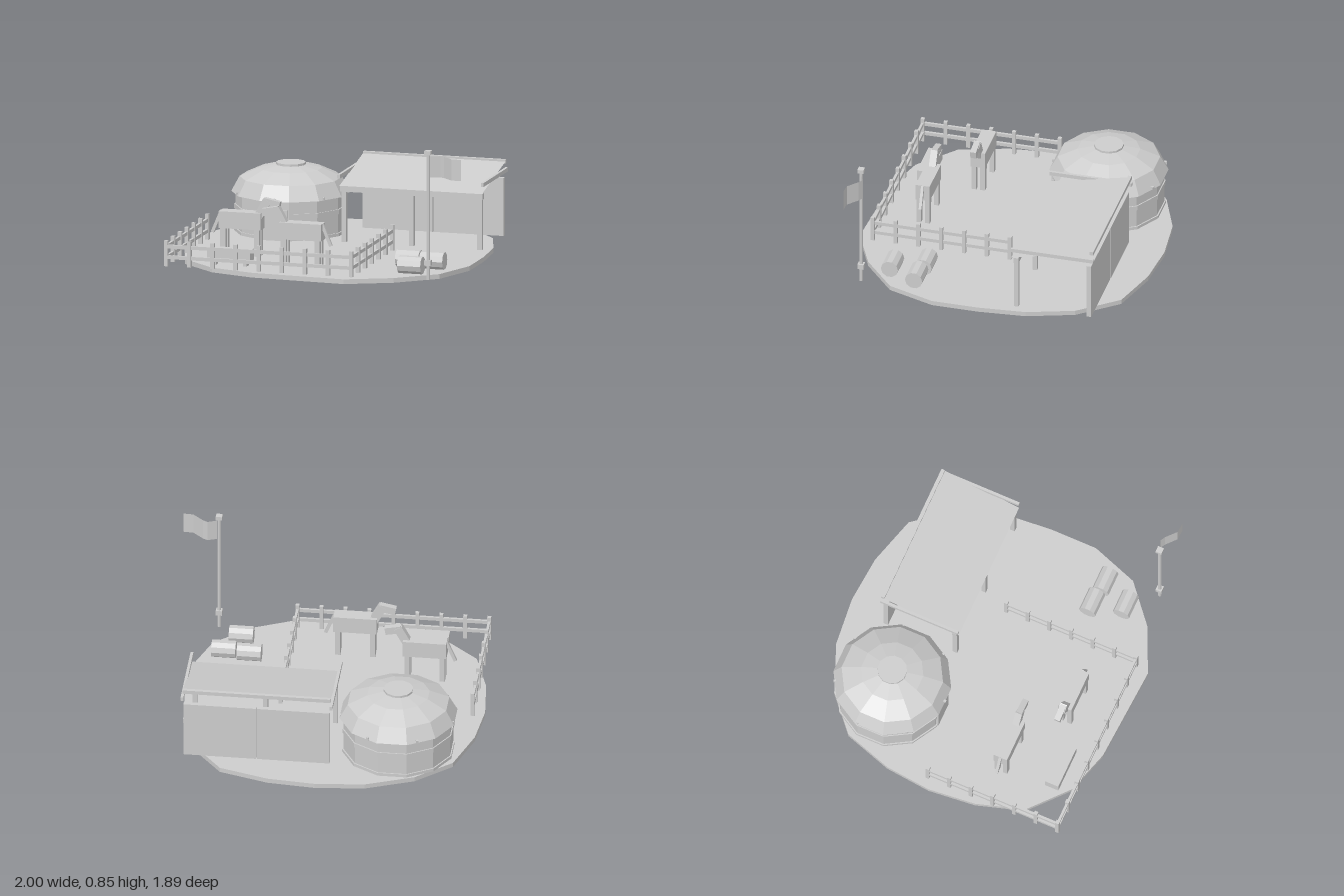
import * as THREE from 'three';

export function createModel() {
  const root = new THREE.Group();
  root.name = 'nomadCamp';
  const grey = new THREE.MeshStandardMaterial({ color: 0xcccccc, flatShading: true, side: THREE.DoubleSide });
  grey.name = 'light grey';

  const group = (name, parent = root) => {
    const g = new THREE.Group();
    g.name = name;
    parent.add(g);
    return g;
  };
  const add = (name, geo, parent = root, x = 0, y = 0, z = 0) => {
    const m = new THREE.Mesh(geo, grey);
    m.name = name;
    m.position.set(x, y, z);
    parent.add(m);
    return m;
  };
  // Box given by its minimum and maximum corners
  const box = (name, parent, x0, x1, y0, y1, z0, z1) =>
    add(name, new THREE.BoxGeometry(x1 - x0, y1 - y0, z1 - z0), parent, (x0 + x1) / 2, (y0 + y1) / 2, (z0 + z1) / 2);

  // Ground slab with an irregular rounded outline (x, z)
  const outline = [
    [-0.04, -0.95], [0.26, -0.925], [0.57, -0.835], [0.77, -0.59], [0.865, -0.295], [0.89, 0], [0.89, 0.305],
    [0.785, 0.605], [0.545, 0.81], [0.26, 0.94], [-0.35, 0.905], [-0.635, 0.82], [-0.875, 0.61],
    [-0.97, 0.305], [-1, 0], [-0.97, -0.295], [-0.87, -0.605], [-0.65, -0.8], [-0.35, -0.92],
  ];
  const slab = new THREE.ExtrudeGeometry(
    new THREE.Shape(outline.map(([x, z]) => new THREE.Vector2(x, -z))), { depth: 0.03, bevelEnabled: false });
  slab.rotateX(-Math.PI / 2);
  add('ground', slab);

  // Round tent: twelve flat sides, radii given to the middle of a side
  const tent = group('tent');
  tent.position.set(-0.51, 0, -0.465);
  const ring = (name, pts) => add(name, new THREE.LatheGeometry(
    pts.map(([r, y]) => new THREE.Vector2(r / Math.cos(Math.PI / 12), y)), 12, Math.PI / 12), tent);
  ring('tentWall', [[0.335, 0.03], [0.335, 0.3]]);
  ring('tentRoof', [[0.33, 0.28], [0.36, 0.28], [0.31, 0.375], [0.19, 0.432], [0.08, 0.455]]);
  ring('crown', [[0.09, 0.448], [0.09, 0.467], [0, 0.467]]);
  ring('baseBand', [[0.335, 0.03], [0.343, 0.03], [0.343, 0.05], [0.335, 0.05]]);
  ring('ropeBand', [[0.335, 0.17], [0.342, 0.17], [0.342, 0.2], [0.335, 0.2]]);
  box('door', tent, -0.08, 0.08, 0.03, 0.225, 0.32, 0.35);
  for (let i = 0; i < 7; i++) {
    const a = (i / 7) * Math.PI * 2;
    const peg = add('ropePeg', new THREE.BoxGeometry(0.015, 0.02, 0.025), tent,
      0.355 * Math.sin(a), 0.288, 0.355 * Math.cos(a));
    peg.rotation.y = a;
  }

  // Open shed with a single sloping roof sheet
  const shed = group('shed');
  for (const x of [-0.085, 0.355, 0.8]) box('shedPost', shed, x - 0.015, x + 0.015, 0.03, 0.37, -0.235, -0.205);
  box('frontBeam', shed, -0.11, 0.82, 0.35, 0.388, -0.235, -0.205);
  box('backWallLeft', shed, 0.358, 0.815, 0.03, 0.4, -0.705, -0.675);
  box('backWallRight', shed, -0.105, 0.352, 0.03, 0.4, -0.705, -0.675);
  box('ridgeBeam', shed, -0.11, 0.82, 0.488, 0.512, -0.72, -0.697);
  for (const x of [-0.115, 0.822]) box('sideBeam', shed, x - 0.009, x + 0.009, 0.435, 0.46, -0.72, -0.19);
  const rise = 0.115, run = 0.53;
  const sheet = add('shedRoof', new THREE.PlaneGeometry(0.93, Math.hypot(rise, run)), shed, 0.355, 0.447, -0.455);
  sheet.rotation.x = -Math.PI / 2 + Math.atan2(rise, run);

  // Three-sided fence
  const fence = group('fence');
  const L = -0.925, R = 0.282, F = 0.85, B = -0.037;
  const post = (x, z) => box('fencePost', fence, x - 0.012, x + 0.012, 0.03, 0.193, z - 0.012, z + 0.012);
  for (let i = 0; i <= 8; i++) post(L + ((R - L) * i) / 8, F);
  for (const x of [L, R]) for (let i = 0; i < 6; i++) post(x, B + ((F - B) * i) / 6);
  for (const y of [0.087, 0.155]) {
    box('frontRail', fence, L, R, y - 0.011, y + 0.011, F - 0.008, F + 0.008);
    for (const x of [L, R]) box('sideRail', fence, x - 0.008, x + 0.008, y - 0.011, y + 0.011, B, F);
  }

  // Horses, built facing +x
  const horse = (x, z, turn) => {
    const h = group('horse');
    h.position.set(x, 0, z);
    h.rotation.y = turn;
    box('body', h, -0.137, 0.137, 0.2, 0.307, -0.046, 0.046);
    for (const lx of [-0.11, 0.11]) for (const lz of [-0.028, 0.028])
      box('leg', h, lx - 0.017, lx + 0.017, 0.03, 0.21, lz - 0.015, lz + 0.015);
    add('neck', new THREE.BoxGeometry(0.055, 0.14, 0.044), h, 0.137, 0.325, 0).rotation.z = -0.5;
    add('head', new THREE.BoxGeometry(0.105, 0.048, 0.038), h, 0.2, 0.368, 0).rotation.z = -0.2;
    add('tail', new THREE.BoxGeometry(0.02, 0.15, 0.018), h, -0.16, 0.235, 0).rotation.z = -0.4;
  };
  horse(-0.58, 0.365, 0);
  horse(-0.115, 0.598, Math.PI);

  // Feeding trough
  const trough = group('trough');
  box('troughBody', trough, -0.69, -0.41, 0.065, 0.135, 0.66, 0.75);
  for (const x of [-0.65, -0.45]) box('troughLeg', trough, x - 0.012, x + 0.012, 0.03, 0.07, 0.68, 0.73);

  // Bales lying on the ground
  for (const [x, z] of [[0.535, 0.437], [0.697, 0.455], [0.608, 0.635]])
    add('bale', new THREE.CylinderGeometry(0.056, 0.056, 0.152, 10).rotateZ(Math.PI / 2), root, x, 0.085, z);

  // Flagpole with a waving flag
  const pole = group('flagpole');
  add('pole', new THREE.CylinderGeometry(0.011, 0.011, 0.8, 8), pole, 0.768, 0.43, 0.795);
  box('poleCap', pole, 0.748, 0.788, 0.827, 0.852, 0.775, 0.815);
  box('poleCollar', pole, 0.748, 0.788, 0.122, 0.155, 0.775, 0.815);
  const wave = [[0.78, 0.79], [0.84, 0.768], [0.87, 0.785], [0.935, 0.843], [1, 0.848]];
  const cloth = new THREE.PlaneGeometry(1, 0.135, 4, 1);
  const p = cloth.attributes.position;
  for (let i = 0; i < p.count; i++) p.setXYZ(i, wave[i % 5][0], p.getY(i) + 0.748, wave[i % 5][1]);
  cloth.computeVertexNormals();
  add('flag', cloth, pole);

  return root;
}
